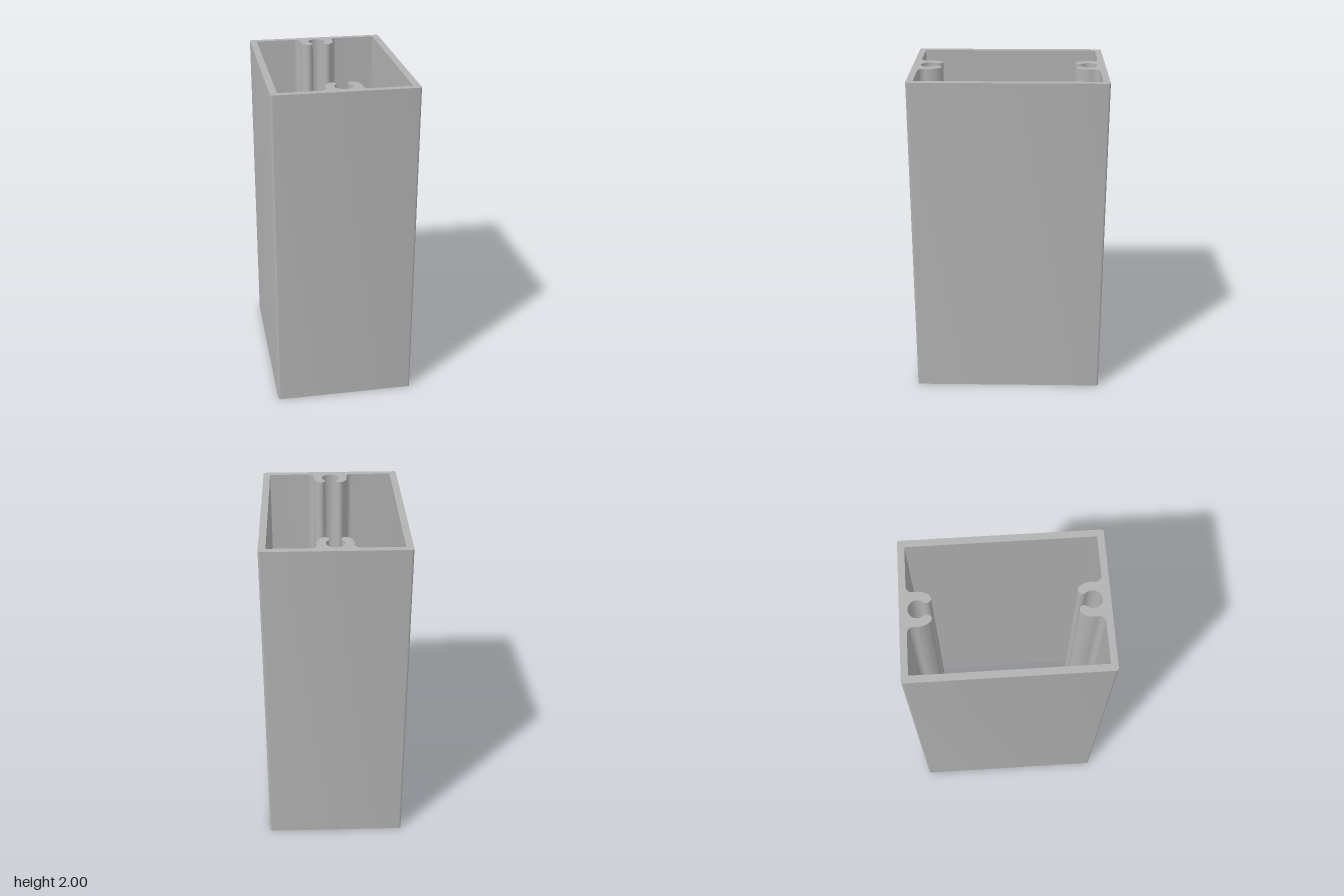
import * as THREE from 'three';
import { toCreasedNormals } from 'three/addons/utils/BufferGeometryUtils.js';

const HEIGHT = 2;
const OUT_X = 0.424, OUT_Z = 0.582, CORNER = 0.014;
const IN_X = 0.382, IN_Z = 0.542;

// Screw channel: a C-shaped ring with rounded tips, filleted into the wall
const CENTRE = 0.482, BORE = 0.053, RING = 0.105, FILLET = 0.037;
const TIP_ANGLE = -0.715;

function arc(cx, cy, r, from, to, steps) {
  return Array.from({ length: steps + 1 }, (_, i) => {
    const a = from + ((to - from) * i) / steps;
    return new THREE.Vector2(cx + r * Math.cos(a), cy + r * Math.sin(a));
  });
}

// Quarter of the cavity outline, from the corner to the middle of the bore
function quarterOutline() {
  const filletY = IN_Z - FILLET;
  const join = Math.asin((filletY - CENTRE) / (RING + FILLET));
  const filletX = (RING + FILLET) * Math.cos(join);
  const mid = (RING + BORE) / 2;
  const tipX = mid * Math.cos(TIP_ANGLE), tipY = CENTRE + mid * Math.sin(TIP_ANGLE);
  return [
    new THREE.Vector2(IN_X, IN_Z),
    ...arc(filletX, filletY, FILLET, Math.PI / 2, Math.PI + join, 12),
    ...arc(0, CENTRE, RING, join, TIP_ANGLE, 12).slice(1),
    ...arc(tipX, tipY, (RING - BORE) / 2, TIP_ANGLE, TIP_ANGLE - Math.PI, 16).slice(1),
    ...arc(0, CENTRE, BORE, TIP_ANGLE, Math.PI / 2, 24).slice(1),
  ];
}

function outerOutline() {
  const x = OUT_X - CORNER, y = OUT_Z - CORNER, q = Math.PI / 2;
  return [[x, y], [-x, y], [-x, -y], [x, -y]]
    .flatMap(([cx, cy], i) => arc(cx, cy, CORNER, i * q, (i + 1) * q, 6));
}

export function createModel() {
  const group = new THREE.Group();
  group.name = 'hollowProfile';

  const aluminium = new THREE.MeshStandardMaterial({ color: 0xb2b2b2 });
  aluminium.name = 'aluminium grey';

  // Mirror the quarter to a half, then turn the half round for the other end
  const quarter = quarterOutline();
  const mirrored = quarter.slice(0, -1).reverse().map((p) => new THREE.Vector2(-p.x, p.y));
  const half = [...quarter, ...mirrored];
  const cavity = [...half, ...half.map((p) => new THREE.Vector2(-p.x, -p.y))];

  const section = new THREE.Shape(outerOutline());
  section.holes.push(new THREE.Path(cavity));

  // Extrude the cross-section upright
  let geometry = new THREE.ExtrudeGeometry(section, { depth: HEIGHT, bevelEnabled: false });
  geometry.rotateX(-Math.PI / 2);
  geometry = toCreasedNormals(geometry, Math.PI / 6);

  const tube = new THREE.Mesh(geometry, aluminium);
  tube.name = 'tubeWithScrewChannels';
  group.add(tube);
  return group;
}
